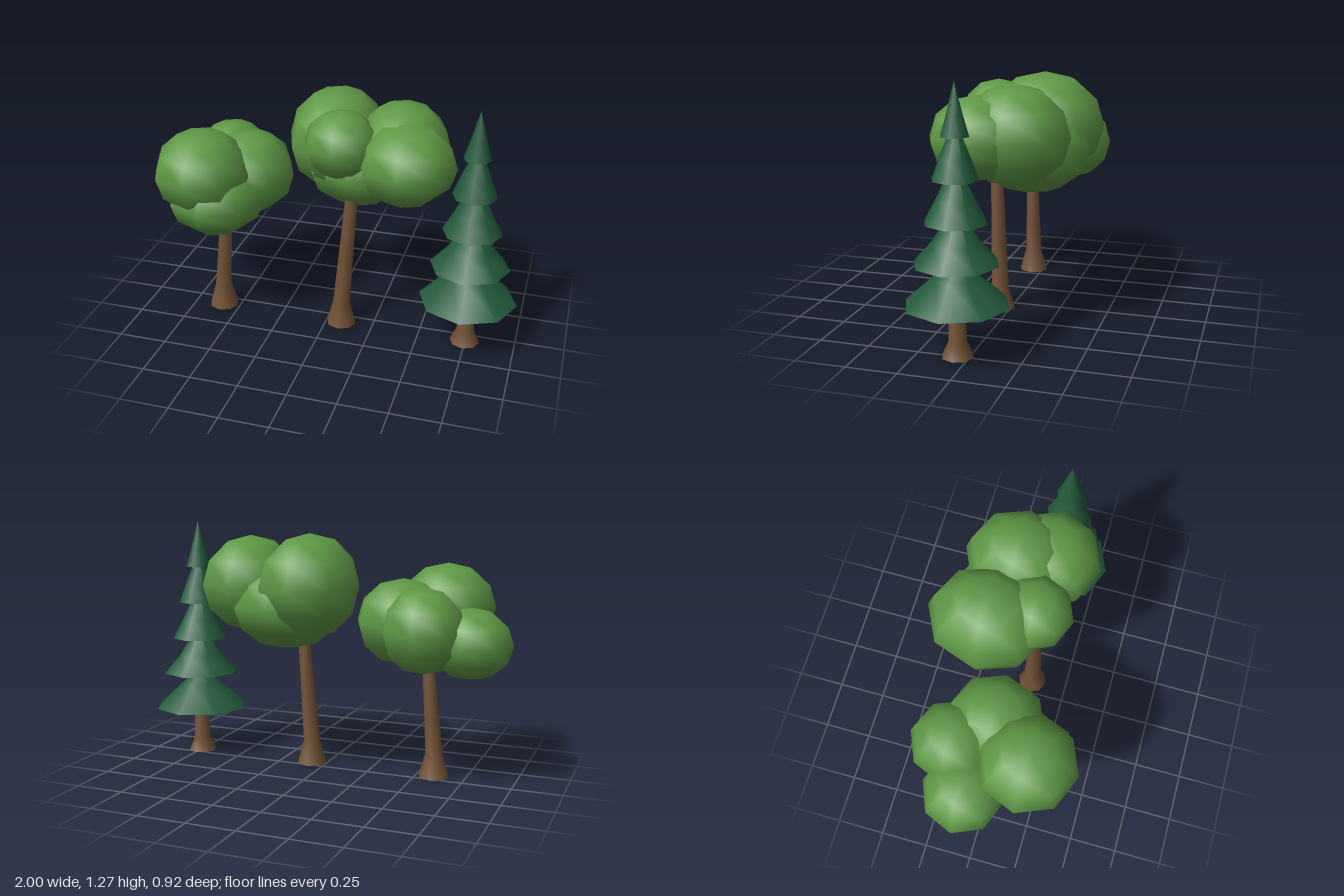
import * as THREE from 'three';

const SIDES = 8;
const TRUNK_Z = 0.055;

const leafGreen = new THREE.MeshStandardMaterial({ name: 'leaf green', color: 0x5f9846 });
const pineGreen = new THREE.MeshStandardMaterial({ name: 'pine green', color: 0x235a3b });
const barkBrown = new THREE.MeshStandardMaterial({ name: 'bark brown', color: 0x725236 });

function add(parent, name, geometry, material) {
  const mesh = new THREE.Mesh(geometry, material);
  mesh.name = name;
  parent.add(mesh);
  return mesh;
}

// Eight-sided turned shape with a flat underside; profile is [radius, y] from the bottom up
function turned(parent, name, profile, material, lean = () => 0) {
  const geometry = new THREE.LatheGeometry(profile.map(([r, y]) => new THREE.Vector2(r, y)), SIDES);
  const pos = geometry.attributes.position;
  for (let i = 0; i < pos.count; i++) pos.setX(i, pos.getX(i) + lean(pos.getY(i)));
  const part = new THREE.Group();
  part.name = name;
  parent.add(part);
  add(part, name + 'Side', geometry, material);
  const [r, y] = profile[0];
  const base = new THREE.CircleGeometry(r, SIDES).rotateX(Math.PI / 2);
  add(part, name + 'Underside', base, material).position.y = y;
}

// Leaning trunk carrying a cluster of flattened leaf balls
function leafyTree(name, x, height, lean, balls) {
  const tree = new THREE.Group();
  tree.name = name;
  const trunk = new THREE.Group();
  trunk.name = 'trunkGroup';
  trunk.position.set(x, 0, TRUNK_Z);
  tree.add(trunk);
  const bend = (y) => lean * Math.max(0, (y - 0.12) / (height - 0.12));
  turned(trunk, 'trunk', [[0.079, 0], [0.046, 0.12], [0.04, height * 0.45], [0.03, height], [0, height]], barkBrown, bend);
  for (const [bx, by, bz, rx, ry, rz] of balls) {
    const ball = add(tree, 'leafBall', new THREE.SphereGeometry(1, SIDES, 6), leafGreen);
    ball.position.set(bx, by, bz);
    ball.scale.set(rx, ry, rz);
  }
  return tree;
}

// Stacked skirts of branches on a short trunk
function pineTree(x) {
  const tree = new THREE.Group();
  tree.name = 'pineTree';
  tree.position.set(x, 0, TRUNK_Z);
  turned(tree, 'pineTrunk', [[0.077, 0], [0.046, 0.07], [0.037, 0.3]], barkBrown);
  const tiers = [
    // bottom y, bottom radius, middle y, middle radius, top y
    [0.253, 0.25, 0.385, 0.105, 0.49],
    [0.447, 0.202, 0.545, 0.115, 0.73],
    [0.638, 0.15, 0.74, 0.095, 0.93],
    [0.834, 0.111, 0.93, 0.075, 1.11],
    [1.027, 0.068, 1.12, 0.04, 1.27],
  ];
  for (const [y0, r0, y1, r1, y2] of tiers) {
    turned(tree, 'branchTier', [[r0, y0], [r1, y1], [0, y2]], pineGreen);
  }
  return tree;
}

export function createModel() {
  const model = new THREE.Group();
  model.name = 'treeGroup';

  model.add(leafyTree('shortTree', -0.592, 0.66, 0.045, [
    [-0.607, 0.865, 0.21, 0.246, 0.215, 0.25],
    [-0.55, 0.722, 0.17, 0.25, 0.195, 0.265],
    [-0.435, 0.8, 0.0, 0.24, 0.215, 0.25],
    [-0.585, 0.785, -0.165, 0.21, 0.21, 0.22],
    [-0.79, 0.72, -0.06, 0.21, 0.175, 0.205],
  ]));

  model.add(leafyTree('tallTree', 0.08, 0.82, 0.055, [
    [0, 0.975, -0.16, 0.257, 0.26, 0.303],
    [0.35, 0.97, -0.1, 0.25, 0.245, 0.275],
    [0.405, 0.96, 0.055, 0.25, 0.205, 0.25],
    [0.075, 1.03, 0.06, 0.19, 0.17, 0.187],
    [0.13, 0.87, -0.13, 0.29, 0.22, 0.29],
  ]));

  model.add(pineTree(0.745));
  return model;
}
